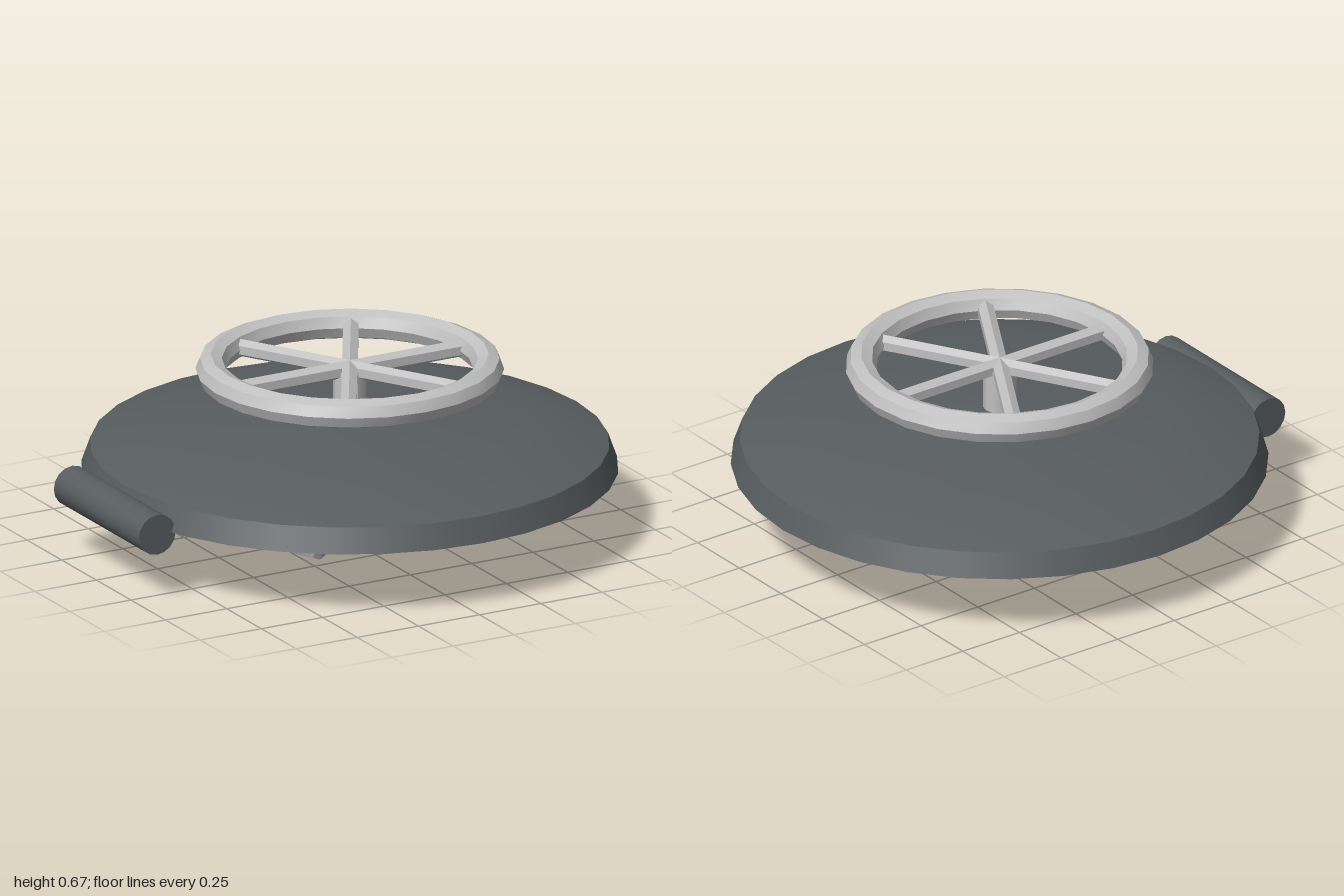
import * as THREE from 'three';
import { toCreasedNormals } from 'three/addons/utils/BufferGeometryUtils.js';

export function createModel() {
  const model = new THREE.Group();
  model.name = 'hatch';

  const darkSteel = new THREE.MeshStandardMaterial({ name: 'dark steel', color: 0x585d60 });
  const paleMetal = new THREE.MeshStandardMaterial({ name: 'pale metal', color: 0xc0c0c1 });

  const add = (parent, name, geometry, material, x = 0, y = 0, z = 0) => {
    const mesh = new THREE.Mesh(geometry, material);
    mesh.name = name;
    mesh.position.set(x, y, z);
    parent.add(mesh);
    return mesh;
  };
  const creased = (geometry) => toCreasedNormals(geometry, Math.PI / 6);

  // Round lid: separate lathes keep the edges between rim, dome and underside sharp
  const lid = new THREE.Group();
  lid.name = 'lid';
  lid.position.x = 0.035;
  model.add(lid);
  const lathe = (points) =>
    new THREE.LatheGeometry(points.map(([r, y]) => new THREE.Vector2(r, y)), 32);
  add(lid, 'underside', lathe([[0, 0.25], [0.957, 0.25]]), darkSteel);
  add(lid, 'rim', lathe([[0.957, 0.25], [0.925, 0.34]]), darkSteel);
  add(lid, 'dome', lathe([[0.925, 0.34], [0.62, 0.432], [0, 0.462]]), darkSteel);

  // Hand wheel on a short stem
  const wheel = new THREE.Group();
  wheel.name = 'handWheel';
  wheel.position.set(0.035, 0.62, 0);
  model.add(wheel);
  const ring = new THREE.TorusGeometry(0.494, 0.055, 8, 24).rotateX(Math.PI / 2);
  add(wheel, 'wheelRing', creased(ring), paleMetal);
  const bar = new THREE.CylinderGeometry(0.032, 0.032, 0.97, 6)
    .rotateY(Math.PI / 2)
    .rotateZ(Math.PI / 2);
  const spoke = creased(bar);
  for (let i = 0; i < 3; i++) {
    add(wheel, 'spokePair', spoke, paleMetal).rotation.y = (i * Math.PI) / 3;
  }
  const stem = new THREE.CylinderGeometry(0.06, 0.06, 0.18, 12);
  add(wheel, 'stem', creased(stem), paleMetal, 0, -0.09, 0);

  // Hinge barrel along the right edge
  const hinge = new THREE.CylinderGeometry(0.075, 0.075, 0.615, 16).rotateX(Math.PI / 2);
  add(model, 'hinge', creased(hinge), darkSteel, -0.925, 0.25, 0);

  // Bent grab handle under the lid, with tube rings placed exactly at the bends
  const half = [[0.25, 0.27], [0.284, 0.12], [0.25, 0.058], [0.1, 0.035]];
  const points = [...half, ...half.map(([z, y]) => [-z, y]).reverse()]
    .map(([z, y]) => new THREE.Vector3(-0.24, y, z));
  const path = new THREE.CatmullRomCurve3(points);
  path.getPointAt = path.getPoint;
  path.getTangentAt = path.getTangent;
  const handle = new THREE.TubeGeometry(path, points.length - 1, 0.035, 8);
  add(model, 'grabHandle', creased(handle), paleMetal);

  return model;
}
